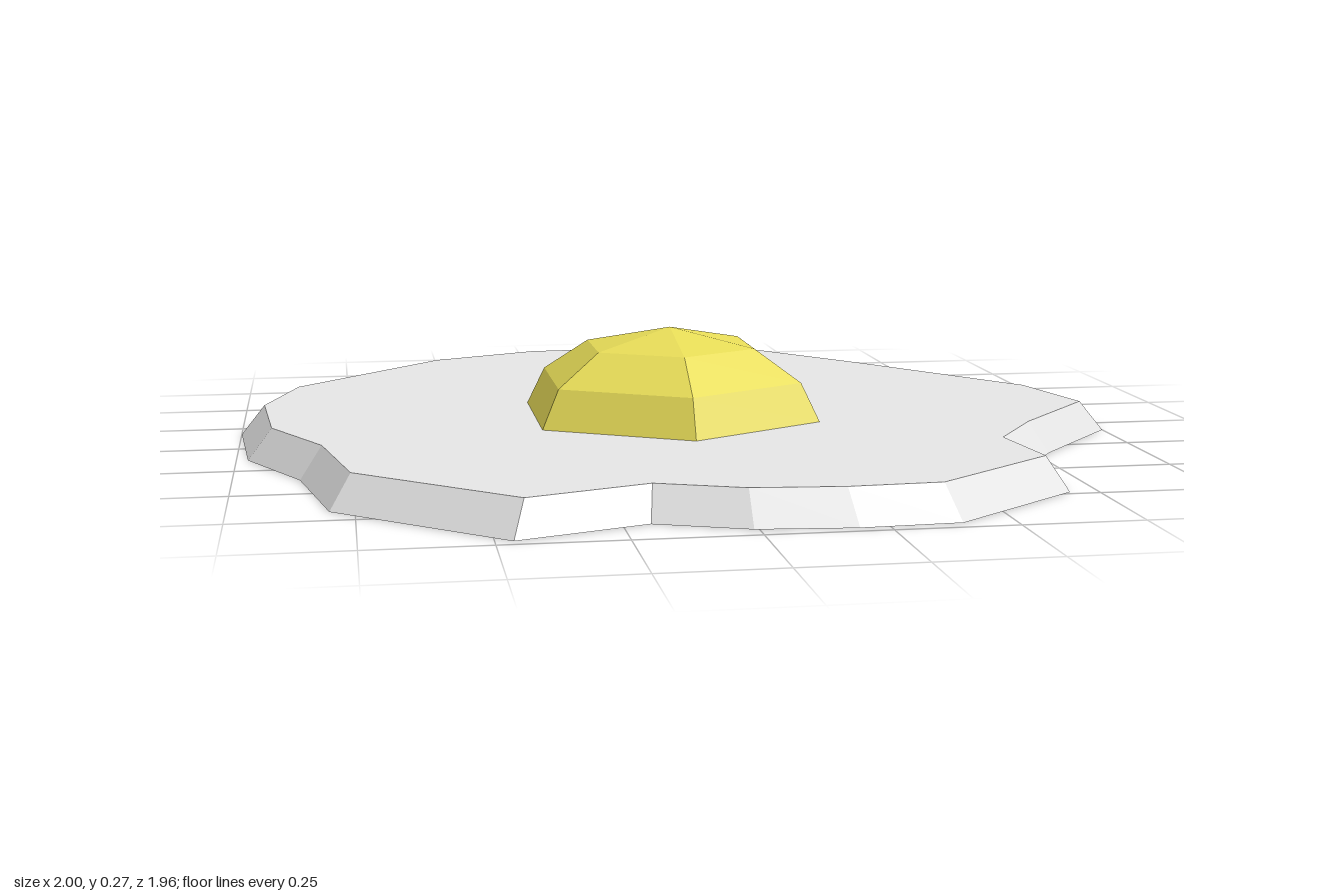
import * as THREE from 'three';

const WHITE = new THREE.MeshStandardMaterial({ color: 0xe6e6e6, flatShading: true });
WHITE.name = 'egg white';
const YOLK = new THREE.MeshStandardMaterial({ color: 0xe8dd58, flatShading: true });
YOLK.name = 'yolk yellow';

const CENTRE = { x: -0.03, z: 0.073 };
const THICKNESS = 0.07;

// Irregular puddle outline on the ground, as [x, z]
const OUTLINE = [
  [0.06, -0.985], [0.385, -0.885], [0.61, -0.61], [0.94, -0.17], [1, 0.09],
  [0.785, 0.335], [0.665, 0.515], [0.69, 0.735], [0.395, 0.965], [0.19, 0.975],
  [-0.01, 0.955], [-0.195, 0.88], [-0.465, 0.975], [-0.8, 0.675], [-0.86, 0.365],
  [-0.975, 0.135], [-1, -0.18], [-0.92, -0.445], [-0.545, -0.845], [-0.265, -0.97],
];

// Slab whose top edge is drawn in towards the centre to give a sloping rim
function eggWhite() {
  const shape = new THREE.Shape(OUTLINE.map(([x, z]) => new THREE.Vector2(x, -z)));
  const geometry = new THREE.ExtrudeGeometry(shape, { depth: THICKNESS, bevelEnabled: false });
  geometry.rotateX(-Math.PI / 2);
  const p = geometry.attributes.position;
  const inset = 0.944;
  for (let i = 0; i < p.count; i++) {
    if (p.getY(i) < THICKNESS / 2) continue;
    p.setX(i, CENTRE.x + (p.getX(i) - CENTRE.x) * inset);
    p.setZ(i, CENTRE.z + (p.getZ(i) - CENTRE.z) * inset);
  }
  geometry.computeVertexNormals();
  const mesh = new THREE.Mesh(geometry, WHITE);
  mesh.name = 'eggWhite';
  return mesh;
}

// Six-sided faceted dome
function yolk() {
  const profile = [[0.357, THICKNESS], [0.313, 0.155], [0.203, 0.226], [0, 0.266]]
    .map(([r, y]) => new THREE.Vector2(r, y));
  const mesh = new THREE.Mesh(new THREE.LatheGeometry(profile, 6), YOLK);
  mesh.position.set(CENTRE.x, 0, CENTRE.z);
  mesh.name = 'yolk';
  return mesh;
}

export function createModel() {
  const group = new THREE.Group();
  group.name = 'friedEgg';
  group.add(eggWhite(), yolk());
  return group;
}
